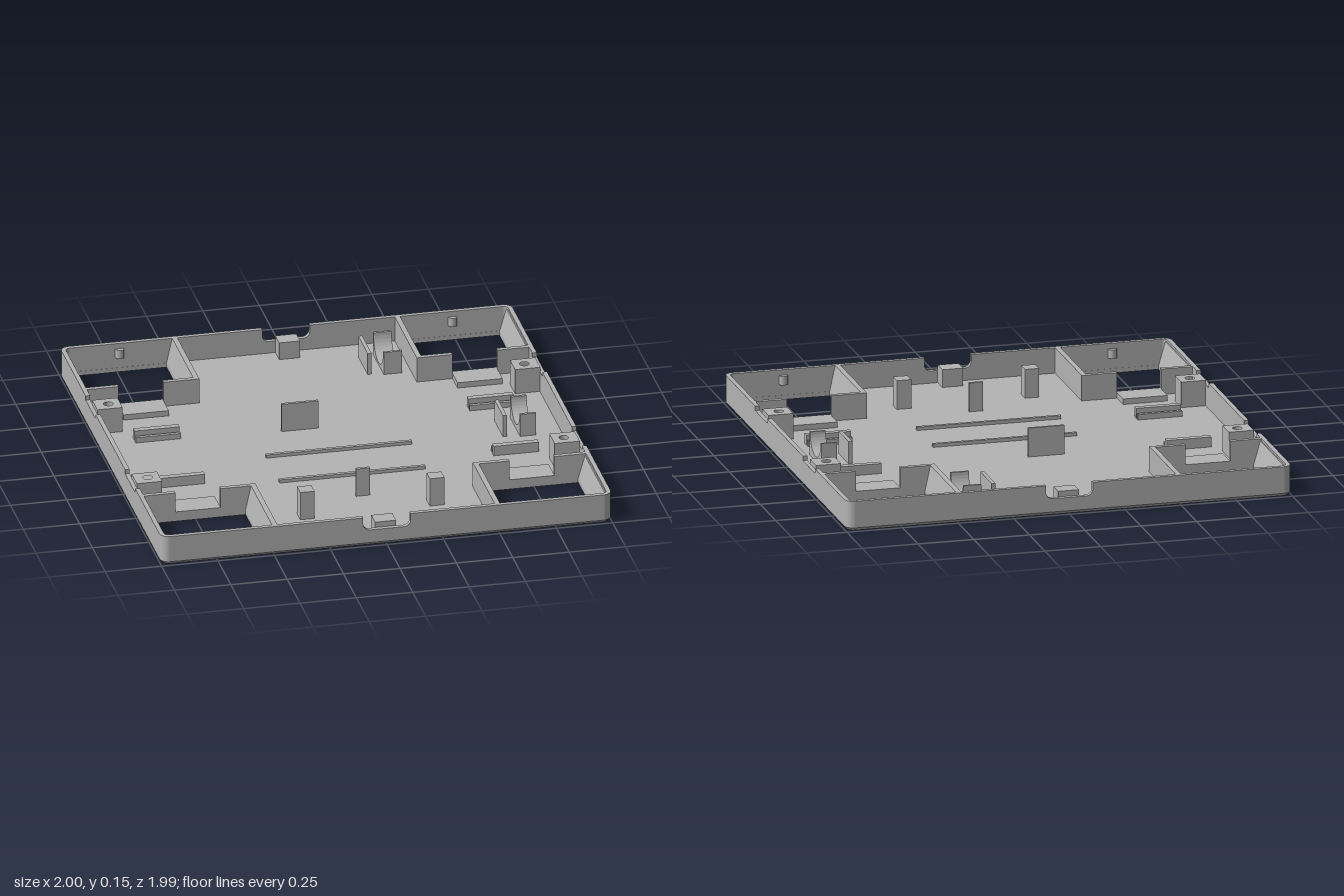
import * as THREE from 'three';

const HX = 1, HZ = 0.995, R = 0.04, WALL = 0.02, H = 0.135, CH = 0.015, FLOOR = 0.02;

export function createModel() {
  const model = new THREE.Group();
  const grey = new THREE.MeshStandardMaterial({ color: 0xb4b4b4 });
  grey.name = 'light grey plastic';

  const add = (name, geo) => {
    const mesh = new THREE.Mesh(geo, grey);
    mesh.name = name;
    model.add(mesh);
    return mesh;
  };
  // box from two opposite corners, in any order
  const box = (name, x0, x1, y0, y1, z0, z1) => add(name,
    new THREE.BoxGeometry(Math.abs(x1 - x0), y1 - y0, Math.abs(z1 - z0))
      .translate((x0 + x1) / 2, (y0 + y1) / 2, (z0 + z1) / 2));
  const poly = pts => new THREE.Shape(pts.map(p => new THREE.Vector2(p[0], p[1])));
  const extrude = (shape, depth) =>
    new THREE.ExtrudeGeometry(shape, { depth, bevelEnabled: false, curveSegments: 10 });
  // (x, y) outline swept along z
  const prismZ = (name, shape, z0, z1) =>
    add(name, extrude(shape, Math.abs(z1 - z0)).translate(0, 0, Math.min(z0, z1)));
  // (z, y) outline swept along x
  const prismX = (name, shape, x0, x1) => add(name,
    extrude(shape, Math.abs(x1 - x0)).rotateY(-Math.PI / 2).translate(Math.max(x0, x1), 0, 0));
  // (x, z) outline swept along y
  const slab = (name, shape, y0, y1) =>
    add(name, extrude(shape, y1 - y0).rotateX(Math.PI / 2).translate(0, y1, 0));
  const roundRect = (w, d, r) => {
    const s = new THREE.Shape();
    [[1, 1], [-1, 1], [-1, -1], [1, -1]].forEach(([sx, sz], i) =>
      s.absarc(sx * (w - r), sz * (d - r), r, i * Math.PI / 2, (i + 1) * Math.PI / 2, false));
    return s;
  };
  const circle = (x, z, r) => new THREE.Path().absarc(x, z, r, 0, Math.PI * 2, true);
  const quads = [[1, 1], [-1, 1], [-1, -1], [1, -1]];

  // floor with four corner openings and screw holes
  const floor = roundRect(HX - CH, HZ - CH, R - CH);
  for (const [sx, sz] of quads) {
    const hole = poly([[0.53, 0.567], [0.945, 0.567], [0.945, 0.974], [0.53, 0.974]]
      .map(([x, z]) => [x * sx, z * sz]));
    floor.holes.push(hole, circle(0.922 * sx, 0.385 * sz, 0.03));
  }
  slab('floor', floor, 0, FLOOR);

  // chamfered lower edge
  const low = roundRect(HX - CH, HZ - CH, R - CH).getPoints(8);
  const high = roundRect(HX, HZ, R).getPoints(8);
  const v = [];
  for (let i = 0; i < low.length; i++) {
    const j = (i + 1) % low.length;
    const a = [low[i].x, 0, low[i].y], b = [low[j].x, 0, low[j].y];
    const c = [high[j].x, CH, high[j].y], d = [high[i].x, CH, high[i].y];
    v.push(...a, ...d, ...c, ...a, ...c, ...b);
  }
  const skirt = new THREE.BufferGeometry();
  skirt.setAttribute('position', new THREE.Float32BufferAttribute(v, 3));
  skirt.computeVertexNormals();
  add('bottomChamfer', skirt);

  // front and back walls, each with a rounded central cut-out
  const endWall = new THREE.Shape();
  const ex = HX - R, nr = 0.03, nx = 0.105, ny = 0.075;
  endWall.moveTo(-ex, CH).lineTo(ex, CH).lineTo(ex, H).lineTo(nx, H).lineTo(nx, ny + nr);
  endWall.absarc(nx - nr, ny + nr, nr, 0, -Math.PI / 2, true);
  endWall.absarc(-nx + nr, ny + nr, nr, -Math.PI / 2, -Math.PI, true);
  endWall.lineTo(-nx, H).lineTo(-ex, H).closePath();
  // side walls, each with two shallow notches
  const ez = HZ - R;
  const sideWall = poly([[-ez, CH], [ez, CH], [ez, H], [0.485, H], [0.485, 0.115], [0.287, 0.115],
    [0.287, H], [-0.287, H], [-0.287, 0.115], [-0.485, 0.115], [-0.485, H], [-ez, H]]);
  for (const s of [1, -1]) {
    prismZ(s > 0 ? 'frontWall' : 'backWall', endWall, s * HZ, s * (HZ - WALL));
    prismX(s > 0 ? 'leftWall' : 'rightWall', sideWall, s * HX, s * (HX - WALL));
    // latch block inside the cut-out
    box('latchBlock', -0.048, 0.045, 0.01, 0.1, s * 0.9, s * (HZ - WALL));
  }

  quads.forEach(([sx, sz], i) => {
    // rounded outer corner
    const a0 = i * Math.PI / 2, a1 = a0 + Math.PI / 2;
    const cx = sx * (HX - R), cz = sz * (HZ - R);
    const corner = new THREE.Shape();
    corner.absarc(cx, cz, R, a0, a1, false);
    corner.absarc(cx, cz, R - WALL, a1, a0, true);
    slab('cornerWall', corner, CH, H);

    // sloping walls either side of the corner opening
    const mir = pts => poly(pts.map(([x, y]) => [x * sx, y]));
    prismZ('wellInnerWall', mir([[0.482, 0.01], [0.53, 0.01], [0.53, 0.02], [0.505, H], [0.482, H]]),
      sz * 0.546, sz * 0.98);
    prismZ('wellOuterSlope', mir([[0.985, 0.01], [0.945, 0.01], [0.945, 0.02], [0.975, 0.125], [0.985, 0.125]]),
      sz * 0.567, sz * 0.97);
    // cross wall with a dip, and the ledge behind the dip
    prismZ('wellCrossWall', mir([[0.49, 0.01], [0.985, 0.01], [0.985, H], [0.84, H], [0.84, 0.045],
      [0.64, 0.045], [0.64, H], [0.49, H]]), sz * 0.546, sz * 0.567);
    box('wellLedge', sx * 0.64, sx * 0.84, 0.01, 0.045, sz * 0.447, sz * 0.5665);
    // small peg on the end wall
    add('wellPeg', new THREE.CylinderGeometry(0.02, 0.02, 0.04, 12)
      .translate(sx * 0.738, 0.09, sz * 0.973));

    // screw post
    const post = poly([[0.87, 0.335], [0.982, 0.335], [0.982, 0.437], [0.87, 0.437]]
      .map(([x, z]) => [x * sx, z * sz]));
    post.holes.push(circle(sx * 0.922, sz * 0.385, 0.021));
    slab('screwPost', post, 0.015, H);

    // paired rails
    box('innerRail', sx * 0.64, sx * 0.84, 0.01, 0.045, sz * 0.208, sz * 0.224);
    box('outerRail', sx * 0.64, sx * 0.84, 0.01, 0.065, sz * 0.234, sz * 0.262);
  });

  // long low ribs across the floor
  for (const z of [0.06, 0.32]) box('floorRib', -0.325, 0.322, 0.01, 0.035, z - 0.008, z + 0.008);

  // upright plates and posts
  box('backPlate', -0.2, -0.037, 0.01, 0.15, -0.195, -0.182);
  box('frontPlate', -0.032, 0.03, 0.01, 0.15, 0.52, 0.533);
  box('rightPost', -0.32, -0.257, 0.01, 0.15, 0.65, 0.713);
  box('leftPost', 0.257, 0.322, 0.01, 0.15, 0.638, 0.7);

  // concave cradles with a stop plate beside each
  for (const [x, z, w, half, plate] of [[0.36, -0.76, 0.08, 0.108, 0.292], [0.795, -0.003, 0.07, 0.097, 0.722]]) {
    const r = half - 0.012, top = 0.125;
    const cradle = new THREE.Shape();
    cradle.moveTo(z - half, 0.01).lineTo(z + half, 0.01).lineTo(z + half, top).lineTo(z + r, top);
    cradle.absarc(z, top, r, 0, -Math.PI, true);
    cradle.lineTo(z - half, top).closePath();
    prismX('cradle', cradle, x, x + w);
    box('cradleStop', plate, plate + 0.017, 0.01, 0.12, z - half * 0.85, z + half * 0.85);
  }

  return model;
}
